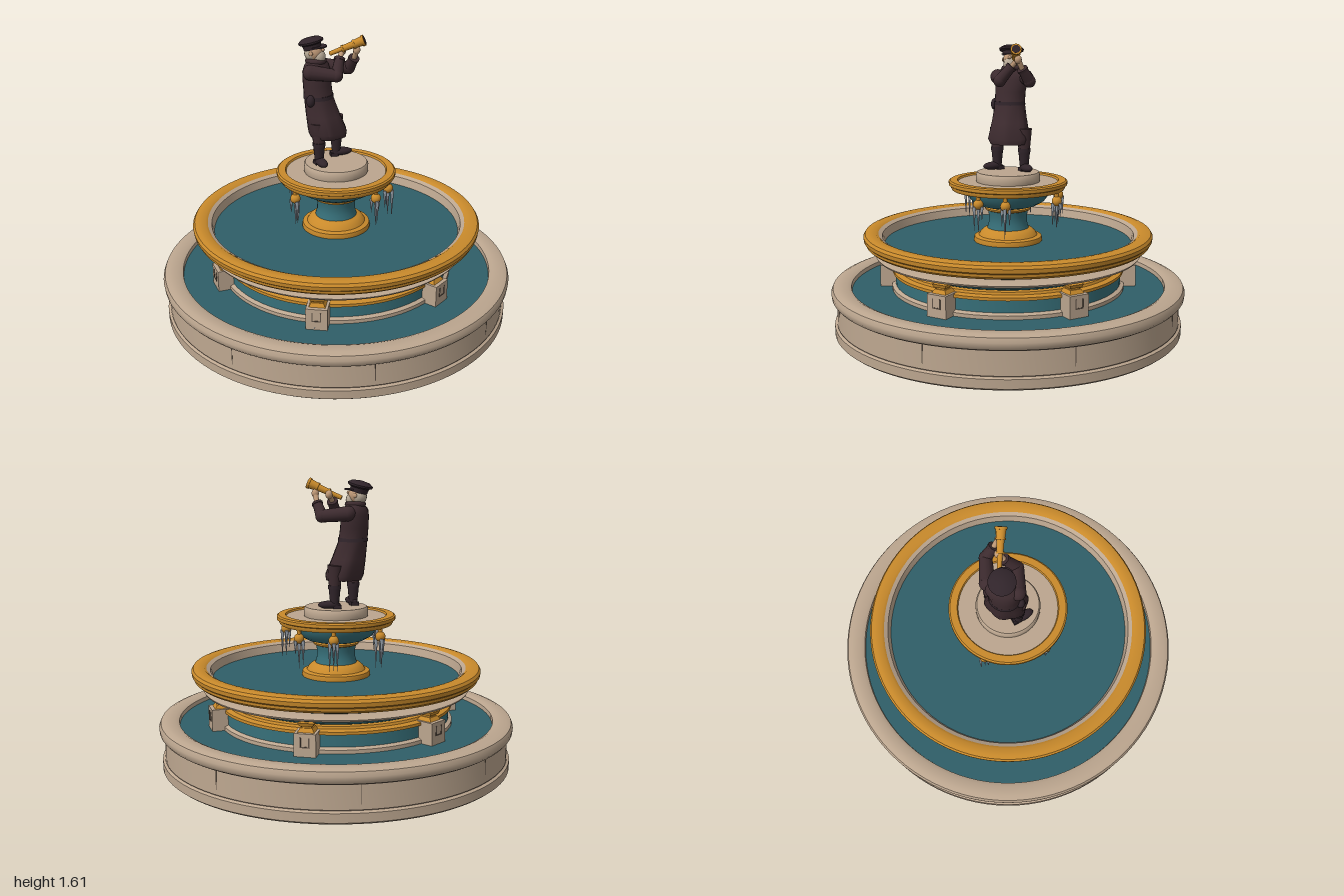
import * as THREE from 'three';
import { toCreasedNormals } from 'three/addons/utils/BufferGeometryUtils.js';

const V = (x, y, z) => new THREE.Vector3(x, y, z);
const mat = (name, color) => Object.assign(new THREE.MeshStandardMaterial({ color }), { name });

export function createModel() {
  const stone = mat('stone', 0xbca68f), gold = mat('gold', 0xc98a2b);
  const tile = mat('teal tile', 0x37707a), water = mat('water', 0x2f5f68);
  const ice = mat('ice', 0x9aa3ad), seam = mat('seam', 0x5f5247);
  const coat = mat('coat', 0x3d2b2f), boot = mat('boots and cap', 0x30242a);
  const skin = mat('skin', 0xc09a78), hair = mat('beard', 0xb9ab98);
  const model = new THREE.Group();
  model.name = 'fountain';

  const add = (parent, name, geo, material, pos) => {
    const m = new THREE.Mesh(geo, material);
    m.name = name;
    if (pos) m.position.copy(pos);
    parent.add(m);
    return m;
  };
  const group = (name, parent = model) => {
    const g = new THREE.Group();
    g.name = name;
    parent.add(g);
    return g;
  };
  // turned part: profile runs up the outside, then inward
  const turned = (parent, name, pts, material, seg = 72) => add(parent, name,
    toCreasedNormals(new THREE.LatheGeometry(pts.map(p => new THREE.Vector2(...p)), seg), 0.6), material);
  // tapered round bar between two points
  const bar = (parent, name, a, b, r0, r1, material) => {
    const d = b.clone().sub(a);
    const m = add(parent, name, new THREE.CylinderGeometry(r1, r0, d.length(), 12), material,
      a.clone().add(b).multiplyScalar(0.5));
    m.quaternion.setFromUnitVectors(V(0, 1, 0), d.normalize());
    return m;
  };
  const ball = (parent, name, p, r, material, sx = 1, sy = 1, sz = 1) => {
    const m = add(parent, name, new THREE.SphereGeometry(r, 16, 12), material, p);
    m.scale.set(sx, sy, sz);
    return m;
  };

  // lower basin
  const lower = group('lowerBasin');
  turned(lower, 'lowerWall', [[0, 0], [0.97, 0], [0.985, 0.012], [0.985, 0.06], [0.97, 0.07],
    [0.967, 0.2], [0.985, 0.205], [0.997, 0.22], [1, 0.245], [0.99, 0.268], [0.965, 0.278],
    [0.91, 0.278], [0.888, 0.268], [0.882, 0.22]], stone, 96);
  turned(lower, 'lowerWater', [[0.89, 0.245], [0, 0.245]], water, 96);
  for (const y of [0.071, 0.2]) turned(lower, 'wallGroove', [[0.972, y - 0.003], [0.972, y + 0.003]], seam, 96);
  for (let i = 0; i < 8; i++) {
    const a = i * Math.PI / 4 - 0.18;
    const s = add(lower, 'wallSeam', new THREE.BoxGeometry(0.004, 0.125, 0.004), seam,
      V(Math.sin(a) * 0.967, 0.135, Math.cos(a) * 0.967));
    s.rotation.y = a;
  }

  // drum and upper basin
  const upper = group('upperBasin');
  turned(upper, 'drum', [[0.64, 0.22], [0.64, 0.34]], tile);
  turned(upper, 'drumBase', [[0.66, 0.22], [0.66, 0.265], [0.64, 0.275]], stone);
  turned(upper, 'drumMoulding', [[0.63, 0.335], [0.655, 0.342], [0.655, 0.358], [0.625, 0.365],
    [0.62, 0.378], [0.58, 0.383]], gold);
  turned(upper, 'bowlUnderside', [[0.58, 0.375], [0.62, 0.39], [0.69, 0.42], [0.73, 0.432]], tile);
  turned(upper, 'bowlLedge', [[0.70, 0.425], [0.745, 0.436], [0.752, 0.447], [0.735, 0.453], [0.64, 0.453]], stone);
  turned(upper, 'bowlSide', [[0.64, 0.45], [0.67, 0.458], [0.70, 0.48], [0.725, 0.5]], tile);
  turned(upper, 'bowlRim', [[0.71, 0.492], [0.785, 0.492], [0.8, 0.505], [0.802, 0.52], [0.812, 0.528],
    [0.815, 0.55], [0.805, 0.565], [0.785, 0.57], [0.745, 0.57], [0.73, 0.56]], gold, 96);
  turned(upper, 'bowlInnerWall', [[0.732, 0.562], [0.71, 0.55], [0.695, 0.495]], stone);
  turned(upper, 'upperWater', [[0.705, 0.503], [0, 0.503]], water);

  // six blocks around the drum
  for (let i = 0; i < 6; i++) {
    const b = group('pier', upper);
    b.rotation.y = i * Math.PI / 3 + Math.PI / 2;
    add(b, 'pierBlock', new THREE.BoxGeometry(0.115, 0.13, 0.12), stone, V(0, 0.3, 0.665));
    for (const s of [-1, 1])
      add(b, 'pierPanelSide', new THREE.BoxGeometry(0.006, 0.05, 0.003), seam, V(s * 0.022, 0.32, 0.726));
    add(b, 'pierPanelBase', new THREE.BoxGeometry(0.05, 0.006, 0.003), seam, V(0, 0.295, 0.726));
    [[0.062, 0.045, 0.375, 0.02], [0.036, 0.036, 0.39, 0.014], [0.05, 0.06, 0.404, 0.018]].forEach(([r0, r1, y, h]) => {
      const c = new THREE.CylinderGeometry(r1, r0, h, 4).toNonIndexed();
      c.rotateY(Math.PI / 4);
      c.computeVertexNormals();
      add(b, 'pierCap', c, gold, V(0, y, 0.66));
    });
  }
  const shard = add(lower, 'iceShard', new THREE.ConeGeometry(0.025, 0.1, 4), ice, V(-0.355, 0.3, 0.6));
  shard.rotation.z = -0.35;

  // column and top bowl
  const column = group('column');
  turned(column, 'columnFoot', [[0.19, 0.49], [0.195, 0.51], [0.19, 0.53], [0.165, 0.537], [0.155, 0.555],
    [0.135, 0.572], [0.11, 0.58]], gold, 48);
  turned(column, 'columnShaft', [[0.118, 0.575], [0.108, 0.61], [0.108, 0.65], [0.116, 0.685]], tile, 48);
  turned(column, 'columnCollar', [[0.112, 0.678], [0.128, 0.684], [0.132, 0.695], [0.12, 0.704]], gold, 48);
  turned(column, 'topBowl', [[0.12, 0.7], [0.165, 0.712], [0.205, 0.735], [0.228, 0.765], [0.235, 0.79], [0.29, 0.802]], tile, 48);
  turned(column, 'topRim', [[0.235, 0.796], [0.315, 0.8], [0.322, 0.812], [0.322, 0.822], [0.334, 0.828],
    [0.334, 0.846], [0.325, 0.853], [0.285, 0.853], [0.278, 0.84]], gold, 64);
  turned(column, 'topFloor', [[0.285, 0.843], [0, 0.843]], stone, 64);
  turned(column, 'plinth', [[0.178, 0.84], [0.181, 0.85], [0.181, 0.885], [0.173, 0.897], [0, 0.897]], stone, 48);

  // gold drops with hanging icicles
  [[-0.28, 0.1], [-0.18, -0.235], [0.13, 0.26], [0.25, 0.16], [0.26, -0.16], [0.1, -0.275]].forEach(([x, z], i) => {
    const g = group('icicleCluster', column);
    g.position.set(x, 0, z);
    ball(g, 'goldDrop', V(0, 0.755, 0), 0.028, gold);
    add(g, 'dropStem', new THREE.CylinderGeometry(0.012, 0.012, 0.04, 10), gold, V(0, 0.79, 0));
    for (let k = 0; k < 4; k++) {
      const h = k === 0 ? 0.16 : 0.08 + 0.03 * ((i + k * 2) % 4), a = k * 2.1 + i, r = k ? 0.024 : 0;
      const c = add(g, 'icicle', new THREE.ConeGeometry(0.011, h, 6), ice,
        V(Math.sin(a) * r, 0.745 - h / 2, Math.cos(a) * r));
      c.rotation.x = Math.PI;
    }
  });

  // statue of a sailor looking through a spyglass
  const sailor = group('sailor');
  // long coat lofted from oval rings: y, centre x, centre z, half width, half depth
  const rings = [[1.05, -0.035, -0.03, 0.105, 0.1], [1.08, -0.04, -0.03, 0.118, 0.108], [1.17, -0.06, -0.045, 0.1, 0.095],
    [1.27, -0.08, -0.058, 0.086, 0.078], [1.34, -0.085, -0.065, 0.086, 0.076], [1.41, -0.085, -0.075, 0.096, 0.072],
    [1.445, -0.085, -0.076, 0.088, 0.06], [1.475, -0.09, -0.075, 0.045, 0.04]];
  const n = 24, pos = [], idx = [];
  rings.forEach(([y, cx, cz, w, d], j) => {
    for (let i = 0; i < n; i++) {
      const t = i / n * Math.PI * 2, fold = j < 3 ? 1 + 0.05 * Math.cos(t * 6) : 1;
      const lx = Math.sin(t) * w * fold, lz = Math.cos(t) * d * fold, q = Math.SQRT1_2;
      pos.push(cx + (lx + lz) * q, y, cz + (lz - lx) * q);
      if (j < rings.length - 1) {
        const a = j * n + i, b = j * n + (i + 1) % n;
        idx.push(a, b, b + n, a, b + n, a + n);
      }
    }
  });
  for (let i = 1; i < n - 1; i++) idx.push(0, i + 1, i);
  const coatGeo = new THREE.BufferGeometry();
  coatGeo.setAttribute('position', new THREE.Float32BufferAttribute(pos, 3));
  coatGeo.setIndex(idx);
  add(sailor, 'coat', toCreasedNormals(coatGeo, 0.9), coat);
  const belt = add(sailor, 'belt', new THREE.CylinderGeometry(0.086, 0.089, 0.02, 24, 1), boot, V(-0.08, 1.275, -0.058));
  belt.rotation.y = Math.PI / 4;
  belt.scale.z = 0.93;
  ball(sailor, 'pouch', V(-0.148, 1.265, 0.0), 0.026, boot, 0.9, 1.3, 0.9);
  const collar = add(sailor, 'collar', new THREE.TorusGeometry(0.043, 0.016, 8, 20), coat, V(-0.088, 1.468, -0.074));
  collar.rotation.x = Math.PI / 2;

  // legs and boots, one toe forward and one to the side
  [[-0.105, 0.01, 0.05], [0.035, -0.085, Math.PI / 2 - 0.15]].forEach(([x, z, turn]) => {
    const leg = group('leg', sailor);
    leg.position.set(x, 0.897, z);
    leg.rotation.y = turn;
    bar(leg, 'bootShaft', V(0, 0.02, 0), V(0, 0.12, 0), 0.024, 0.034, boot);
    bar(leg, 'trouser', V(0, 0.11, 0), V(0, 0.24, -0.005), 0.031, 0.045, coat);
    bar(leg, 'bootCuff', V(0, 0.11, 0), V(0, 0.13, 0), 0.036, 0.036, boot);
    ball(leg, 'bootFoot', V(0, 0.022, 0.03), 0.03, boot, 0.95, 0.75, 2.1);
    add(leg, 'bootHeel', new THREE.BoxGeometry(0.045, 0.02, 0.045), boot, V(0, 0.01, -0.012));
  });

  // arms: shoulder, elbow, wrist, hand
  [[V(-0.142, 1.42, -0.015), V(-0.015, 1.405, 0.045), V(0.025, 1.485, -0.01), V(0.05, 1.52, -0.03)],
    [V(-0.028, 1.42, -0.13), V(0.105, 1.405, -0.075), V(0.115, 1.475, -0.022), V(0.118, 1.525, 0.005)]].forEach(([s, e, w, h]) => {
    const arm = group('arm', sailor);
    ball(arm, 'shoulder', s, 0.042, coat);
    bar(arm, 'upperSleeve', s, e, 0.042, 0.034, coat);
    ball(arm, 'elbow', e, 0.035, coat);
    bar(arm, 'lowerSleeve', e, w, 0.034, 0.026, coat);
    bar(arm, 'cuff', w.clone().lerp(e, 0.15), w, 0.031, 0.031, coat);
    bar(arm, 'wrist', w, h, 0.014, 0.016, skin);
    ball(arm, 'hand', h, 0.02, skin, 1, 1.2, 1);
  });

  // head faces the diagonal and tips upward
  const head = group('head', sailor);
  head.position.set(-0.1, 1.515, -0.078);
  head.rotation.order = 'YXZ';
  head.rotation.set(-0.25, Math.PI / 3.5, 0);
  ball(head, 'face', V(0, 0, 0.008), 0.046, skin, 0.95, 1.1, 1);
  ball(head, 'hairBack', V(0, -0.005, -0.012), 0.044, hair, 1, 1, 0.9);
  ball(head, 'beard', V(0, -0.03, 0.028), 0.038, hair, 1, 1.1, 0.85);
  ball(head, 'nose', V(0, 0.002, 0.056), 0.01, skin);
  for (const s of [-1, 1]) ball(head, 'ear', V(s * 0.046, 0, 0), 0.012, skin, 0.5, 1, 1);
  turned(head, 'cap', [[0.048, 0.018], [0.052, 0.044], [0.068, 0.052], [0.07, 0.062], [0.05, 0.076], [0, 0.084]], boot, 24);
  const visor = add(head, 'capVisor', new THREE.CylinderGeometry(0.05, 0.05, 0.007, 20), boot, V(0, 0.025, 0.032));
  visor.rotation.x = 0.2;

  // spyglass in three widening sections
  const eye = V(-0.015, 1.502, -0.055), tip = V(0.148, 1.582, 0.035);
  const at = t => eye.clone().lerp(tip, t);
  const glass = group('spyglass', sailor);
  [[0, 0.4, 0.012, 0.014], [0.37, 0.72, 0.017, 0.02], [0.7, 1, 0.022, 0.028], [0.36, 0.41, 0.021, 0.021],
    [0.69, 0.74, 0.026, 0.026], [0.94, 1.01, 0.031, 0.031]].forEach(([a, b, r0, r1]) =>
    bar(glass, 'spyglassSection', at(a), at(b), r0, r1, gold));
  bar(glass, 'spyglassLens', at(1.0), at(1.015), 0.023, 0.023, boot);
  return model;
}
